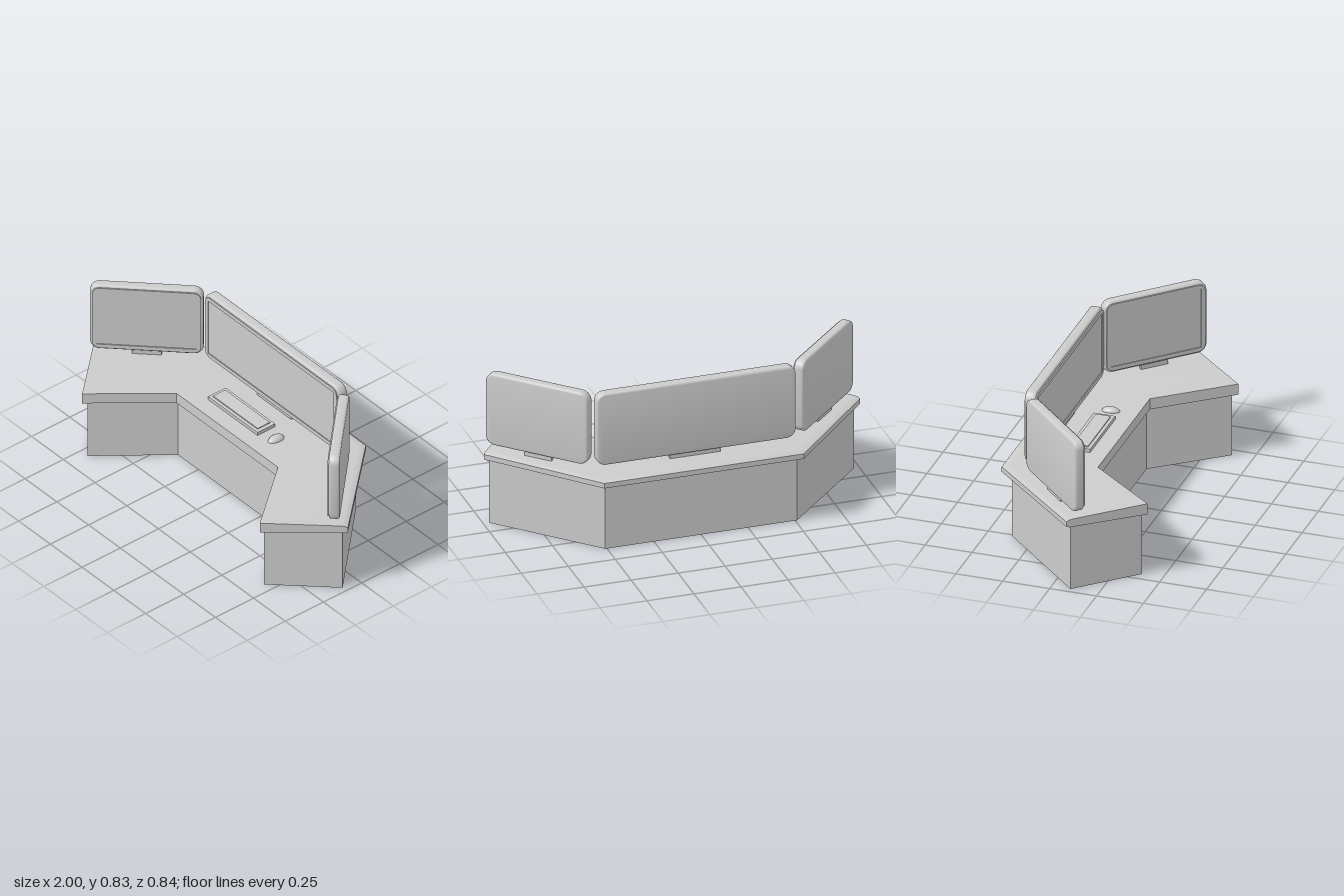
import * as THREE from 'three';
import { toCreasedNormals } from 'three/addons/utils/BufferGeometryUtils.js';

const grey = new THREE.MeshStandardMaterial({ color: 0xcccccc, side: THREE.DoubleSide });

function add(parent, name, geometry, x = 0, y = 0, z = 0) {
  const mesh = new THREE.Mesh(geometry, grey);
  mesh.name = name;
  mesh.position.set(x, y, z);
  parent.add(mesh);
  return mesh;
}

// Sweeps a [front-to-back fraction, y] profile along the angled desk plan.
// Each station is [frontX, frontZ, backX, backZ]; the right half is mirrored.
function deskLoft(half, profile, closed) {
  const mirrored = half.slice().reverse().map(([fx, fz, bx, bz]) => [-fx, fz, -bx, bz]);
  const stations = [...half, ...mirrored];
  const n = profile.length;
  const pos = [], index = [];
  for (const [fx, fz, bx, bz] of stations)
    for (const [t, y] of profile) pos.push(fx + (bx - fx) * t, y, fz + (bz - fz) * t);
  for (let s = 0; s < stations.length - 1; s++)
    for (let i = 0; i < (closed ? n : n - 1); i++) {
      const a = s * n + i, b = s * n + (i + 1) % n;
      index.push(a, b, b + n, a, b + n, a + n);
    }
  const last = (stations.length - 1) * n;
  for (let i = 1; i < n - 1; i++) {
    index.push(0, i + 1, i, last, last + i, last + i + 1);
  }
  const g = new THREE.BufferGeometry();
  g.setAttribute('position', new THREE.Float32BufferAttribute(pos, 3));
  g.setIndex(index);
  return toCreasedNormals(g, 0.55);
}

function roundedRect(w, h, r) {
  const s = new THREE.Shape();
  const x = w / 2 - r, y = h / 2 - r;
  s.absarc(x, y, r, 0, Math.PI / 2);
  s.absarc(-x, y, r, Math.PI / 2, Math.PI);
  s.absarc(-x, -y, r, Math.PI, Math.PI * 1.5);
  s.absarc(x, -y, r, Math.PI * 1.5, Math.PI * 2);
  s.closePath();
  return s;
}

// Monitor with rounded case, raised bezel, recessed screen and a thin stand
function monitor(name, w, h, d, standWidth) {
  const g = new THREE.Group();
  g.name = name;
  const bevel = 0.012, lip = 0.006;
  const body = new THREE.ExtrudeGeometry(roundedRect(w - 2 * bevel, h - 2 * bevel, 0.038), {
    depth: d - lip - 2 * bevel, bevelSize: bevel, bevelThickness: bevel, bevelSegments: 3, curveSegments: 8,
  });
  add(g, 'case', toCreasedNormals(body, 0.7), 0, 0, -d / 2 + bevel);

  const frame = roundedRect(w - 2 * bevel, h - 2 * bevel, 0.038);
  const sx = w / 2 - 0.035, sy = h / 2 - 0.035;
  frame.holes.push(new THREE.Path([
    new THREE.Vector2(-sx, -sy), new THREE.Vector2(-sx, sy),
    new THREE.Vector2(sx, sy), new THREE.Vector2(sx, -sy),
  ]));
  const bezel = new THREE.ExtrudeGeometry(frame, { depth: lip, bevelEnabled: false, curveSegments: 8 });
  add(g, 'bezel', toCreasedNormals(bezel, 0.7), 0, 0, d / 2 - lip);
  add(g, 'screen', new THREE.PlaneGeometry(2 * sx, 2 * sy), 0, 0, d / 2 - lip + 0.001);
  add(g, 'stand', new THREE.BoxGeometry(standWidth, 0.05, 0.02), 0, -h / 2 - 0.01, 0);
  return g;
}

export function createModel() {
  const model = new THREE.Group();
  model.name = 'cornerWorkstation';

  // Angled desktop with a thinner, rounded back edge
  add(model, 'desktop', deskLoft(
    [[0.7, 0.418, 1, 0.09], [0.4, 0.05, 0.53, -0.418]],
    [[0, 0.345], [0, 0.405], [0.92, 0.402], [0.97, 0.399], [1, 0.392], [1, 0.364], [0.96, 0.358]], true));

  // Hollow base walls, open underneath
  add(model, 'base', deskLoft(
    [[0.695, 0.387], [0.41, 0.03]].map((p, i) => [...p, ...[[0.97, 0.1], [0.51, -0.37]][i]]),
    [[0, 0], [0, 0.365], [1, 0.365], [1, 0]], false).translate(0, 0, 0));

  // Wide centre monitor and two turned side monitors
  const centre = monitor('centreMonitor', 1.06, 0.4, 0.064, 0.27);
  centre.position.set(0, 0.63, -0.267);
  model.add(centre);
  for (const side of [1, -1]) {
    const m = monitor(side > 0 ? 'leftMonitor' : 'rightMonitor', 0.575, 0.4, 0.06, 0.15);
    m.position.set(side * 0.755, 0.63, -0.052);
    m.rotation.y = -side * Math.PI / 4;
    model.add(m);
  }

  // Keyboard with raised key block
  const keyboard = new THREE.Group();
  keyboard.name = 'keyboard';
  keyboard.position.set(-0.065, 0, -0.098);
  add(keyboard, 'keyboardTray', new THREE.BoxGeometry(0.39, 0.022, 0.115), 0, 0.412, 0);
  add(keyboard, 'keyBlock', new THREE.BoxGeometry(0.35, 0.012, 0.08), 0, 0.423, 0);
  model.add(keyboard);

  // Mouse: half dome, a little narrower at the front end of the hand
  const dome = new THREE.SphereGeometry(1, 20, 8, 0, Math.PI * 2, 0, Math.PI / 2);
  const p = dome.attributes.position;
  for (let i = 0; i < p.count; i++) {
    const z = p.getZ(i);
    p.setXYZ(i, p.getX(i) * 0.029 * (1 - 0.12 * z), p.getY(i) * 0.024, z * 0.048);
  }
  dome.computeVertexNormals();
  add(model, 'mouse', dome, 0.213, 0.402, -0.092);

  return model;
}
